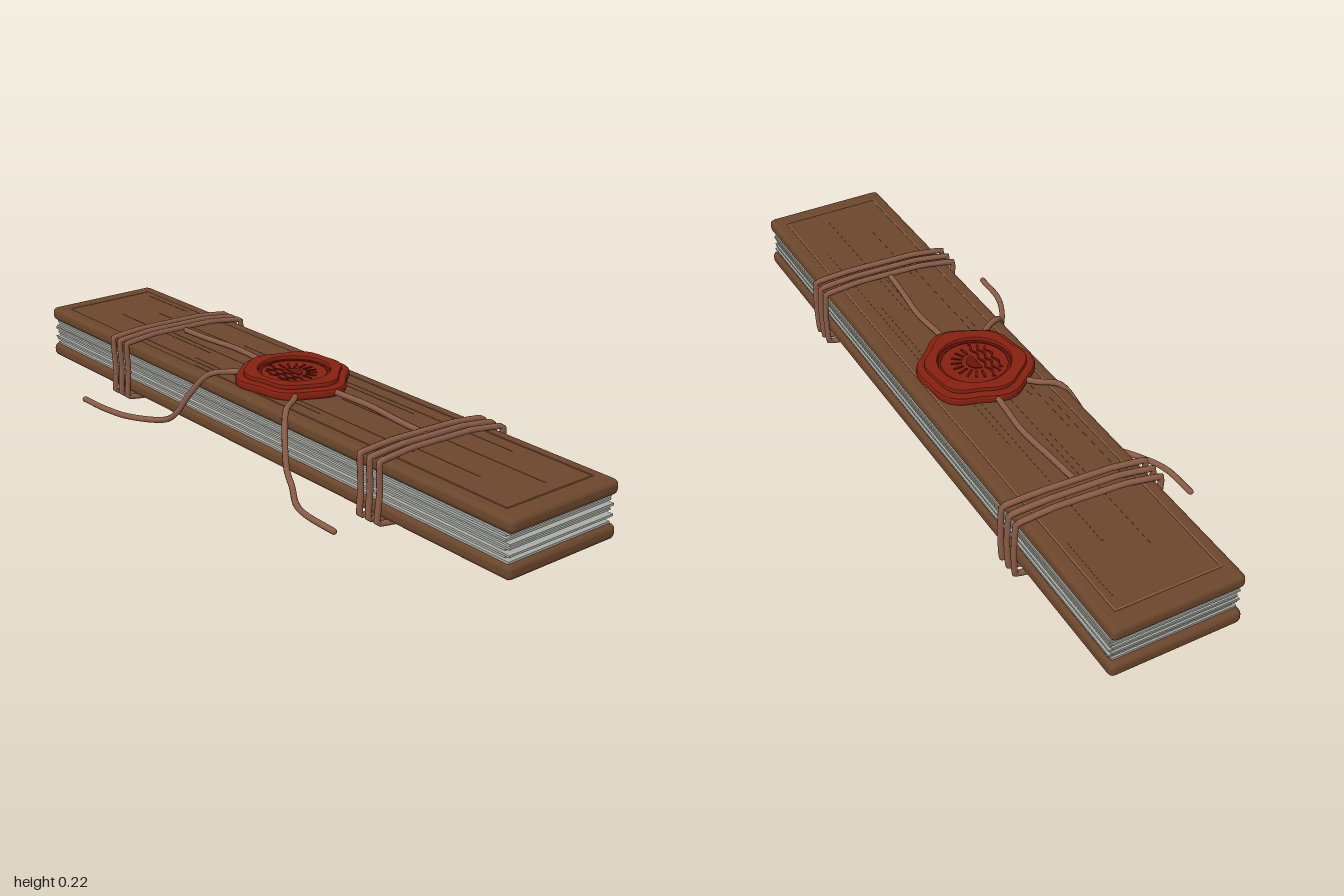
import * as THREE from 'three';
import { RoundedBoxGeometry } from 'three/addons/geometries/RoundedBoxGeometry.js';

const paint = (name, color, extra = {}) => {
  const m = new THREE.MeshStandardMaterial({ color, ...extra });
  m.name = name;
  return m;
};

export function createModel() {
  const wood = paint('brown wood', 0x6b462b);
  const inlay = paint('light wood line', 0x8f6242);
  const paper = paint('grey paper', 0xa9aca4);
  const paperDark = paint('shaded paper', 0x8d9089);
  const cordMat = paint('cord brown', 0x8a5c46);
  const wax = paint('red wax', 0x85200f, { flatShading: true });
  const waxDark = paint('dark red wax', 0x66150b);

  const model = new THREE.Group();
  model.name = 'boundBook';
  const MID = -0.069; // centre of the boards in z

  const add = (name, geometry, material, x = 0, y = 0, z = 0, parent = model) => {
    const mesh = new THREE.Mesh(geometry, material);
    mesh.name = name;
    mesh.position.set(x, y, z);
    parent.add(mesh);
    return mesh;
  };
  const group = (name, z = 0) => {
    const g = new THREE.Group();
    g.name = name;
    g.position.z = z;
    model.add(g);
    return g;
  };

  // Two long wooden boards with softened edges
  const board = new RoundedBoxGeometry(2, 0.041, 0.372, 2, 0.016);
  add('bottomBoard', board, wood, 0, 0.049, MID);
  add('topBoard', board, wood, 0, 0.1665, MID);

  // Stack of slightly uneven leaves
  const pages = group('pages', MID);
  const jitter = [3, 0, 2, 4, 1, 3, 0, 4, 2, 1, 3];
  jitter.forEach((j, i) => {
    const y = 0.0725 + i * 0.0071;
    const depth = 0.345 + ((j * 2) % 5) * 0.004;
    add('leaf', new THREE.BoxGeometry(1.94 + j * 0.009, 0.0058, depth), paper,
      (j - 2) * 0.003, y, (j - 2) * 0.0025, pages);
    if (i < 10) add('leafGap', new THREE.BoxGeometry(1.93, 0.0014, 0.335), paperDark, 0, y + 0.0035, 0, pages);
  });

  // Thin frame line and grain ridges on the top board
  const cover = group('coverLines', MID);
  for (const s of [-1, 1]) {
    add('frameLong', new THREE.BoxGeometry(1.895, 0.002, 0.004), inlay, 0, 0.1875, s * 0.147, cover);
    add('frameShort', new THREE.BoxGeometry(0.004, 0.002, 0.298), inlay, s * 0.9455, 0.1875, 0, cover);
  }
  for (let i = 0; i < 14; i++) {
    const length = 0.2 + ((i * 5) % 7) * 0.09;
    const x = (((i * 11) % 14) / 13 - 0.5) * (1.8 - length);
    add('grain', new THREE.BoxGeometry(length, 0.001, 0.004), wood, x, 0.1873, -0.125 + i * 0.0192, cover);
  }

  // Cord helper
  const cord = (name, points, closed, parent) => {
    const path = new THREE.CatmullRomCurve3(points.map(p => new THREE.Vector3(...p)), closed, 'catmullrom', closed ? 0.08 : 0.5);
    add(name, new THREE.TubeGeometry(path, closed ? 90 : 40, 0.0085, 8, closed), cordMat, 0, 0, 0, parent);
    if (!closed) for (const p of [points[0], points.at(-1)]) {
      add(name + 'End', new THREE.SphereGeometry(0.0085, 8, 6), cordMat, ...p, parent);
    }
  };

  // Three slanted turns around each side; profile given as [z, y]
  const turn = [[0.132, 0.19], [0.03, 0.203], [-0.165, 0.203], [-0.271, 0.19], [-0.275, 0.105],
    [-0.271, 0.022], [-0.165, 0.011], [0.03, 0.011], [0.132, 0.022], [0.128, 0.105]];
  for (const [name, x0] of [['rightBinding', -0.567], ['leftBinding', 0.55]]) {
    const binding = group(name);
    for (const k of [-1, 0, 1]) {
      cord('cordTurn', turn.map(([z, y], i) =>
        [x0 + k * 0.034 - (z + 0.07) * 0.06 + Math.sin(i * 2 + k) * 0.002, y, z]), true, binding);
    }
  }

  // Cords running from the bindings to the seal, and the loose tails
  for (const s of [-1, 1]) {
    const g = group(s < 0 ? 'rightCord' : 'leftCord');
    cord('topCord', [[s * 0.52, 0.197, -0.068], [s * 0.42, 0.196, -0.075], [s * 0.3, 0.197, -0.086],
      [s * 0.2, 0.199, -0.08], [s * 0.1, 0.2, -0.072]], false, g);
    cord('looseTail', [[s * 0.08, 0.2, -0.01], [s * 0.14, 0.2, 0.05], [s * 0.175, 0.192, 0.105],
      [s * 0.215, 0.13, 0.14], [s * 0.25, 0.068, 0.162], [s * 0.295, 0.038, 0.18],
      [s * 0.38, 0.035, 0.235], [s * 0.46, 0.041, 0.264], [s * 0.565, 0.041, 0.269]], false, g);
  }

  // Wax seal: irregular base, raised rim, pressed centre
  const seal = group('waxSeal', -0.065);
  const blob = r => {
    const pts = [];
    for (let i = 0; i < 48; i++) {
      const a = i / 48 * Math.PI * 2;
      const k = r * (1 + 0.045 * Math.sin(6 * a + 0.6) + 0.03 * Math.sin(3 * a + 2) + 0.02 * Math.cos(2 * a));
      pts.push(new THREE.Vector2(Math.cos(a) * k, Math.sin(a) * k));
    }
    return new THREE.Shape(pts);
  };
  const lying = (shape, depth, bevel = 0) => new THREE.ExtrudeGeometry(shape, {
    depth, bevelEnabled: bevel > 0, bevelSize: bevel, bevelThickness: bevel, bevelSegments: 2, curveSegments: 32,
  }).rotateX(-Math.PI / 2);
  add('sealBase', lying(blob(0.15), 0.01, 0.008), wax, 0, 0.195, 0, seal);
  const rim = blob(0.132);
  rim.holes.push(new THREE.Path().absarc(0, 0, 0.105, 0, Math.PI * 2, true));
  add('sealRim', lying(rim, 0.006, 0.004), wax, 0, 0.2155, 0, seal);

  // Pressed rising sun over waves
  const ring = new THREE.Shape().absarc(0, 0, 0.099, 0, Math.PI * 2, false);
  ring.holes.push(new THREE.Path().absarc(0, 0, 0.091, 0, Math.PI * 2, true));
  add('sealRing', lying(ring, 0.003), waxDark, 0, 0.2125, 0, seal);
  add('sun', lying(new THREE.Shape().absarc(0, 0, 0.03, 0, Math.PI, false), 0.003), waxDark, 0, 0.2125, 0.008, seal);
  for (let i = 0; i < 9; i++) {
    const a = (i + 0.5) / 9 * Math.PI;
    const ray = add('sunRay', new THREE.BoxGeometry(0.03, 0.003, 0.006), waxDark,
      Math.cos(a) * 0.056, 0.214, 0.008 - Math.sin(a) * 0.056, seal);
    ray.rotation.y = a;
  }
  for (let row = 0; row < 3; row++) {
    const half = 0.08 - row * 0.014;
    const upper = [], lower = [];
    for (let i = 0; i <= 28; i++) {
      const x = -half + 2 * half * i / 28;
      const y = Math.sin(x * 150 + row) * 0.004;
      upper.push(new THREE.Vector2(x, y + 0.003));
      lower.unshift(new THREE.Vector2(x, y - 0.003));
    }
    add('wave', lying(new THREE.Shape([...lower.reverse(), ...upper.reverse()]), 0.003), waxDark,
      0, 0.2125, 0.022 + row * 0.018, seal);
  }

  return model;
}
